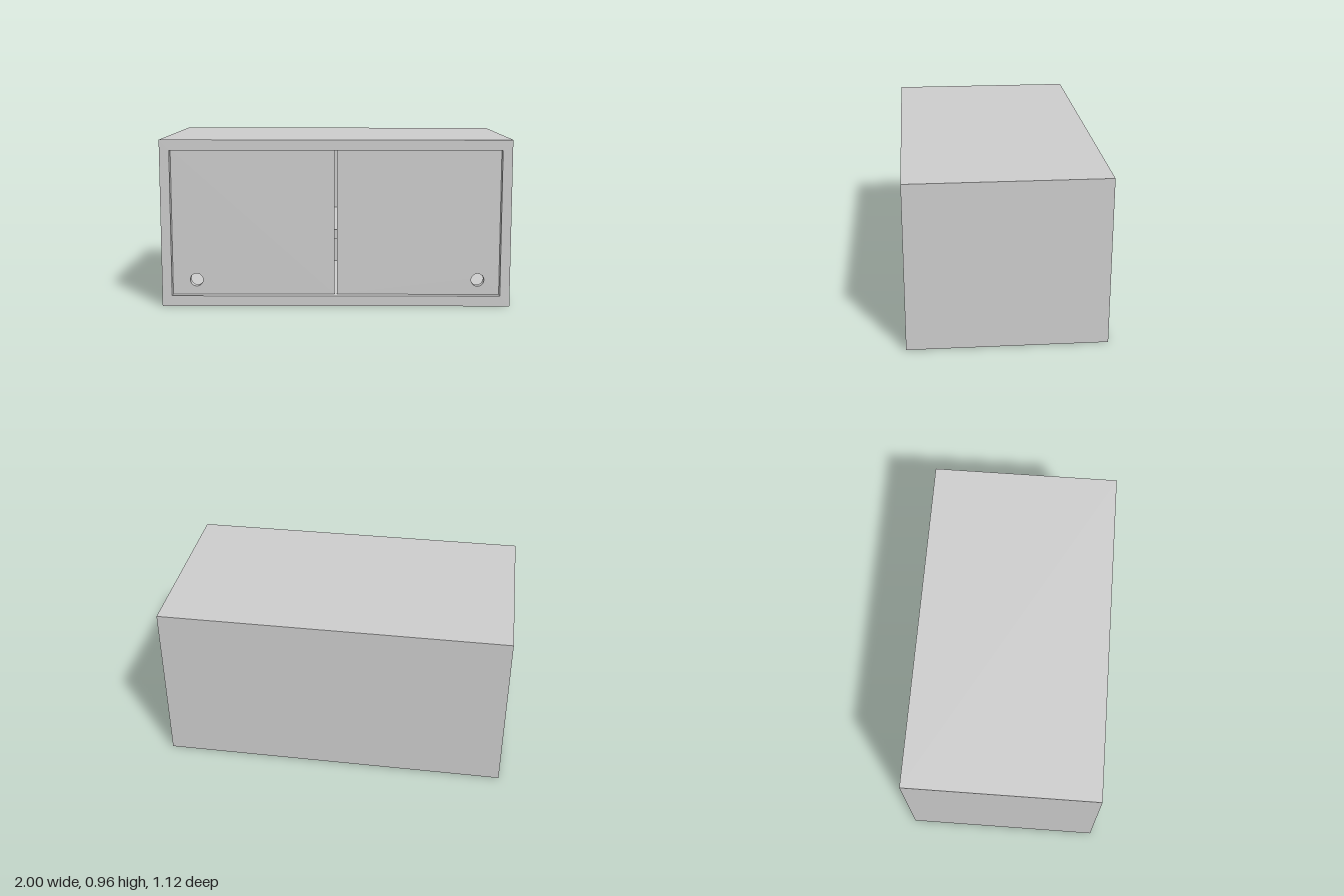
import * as THREE from 'three';

const W = 2, H = 0.96, D = 1.115, T = 0.056;      // outer size and panel thickness
const OPEN_X = W / 2 - T, Y0 = 0.06, Y1 = 0.9;    // door opening
const DOOR_T = 0.045, RECESS = 0.045, HOLE_R = 0.037;

export function createModel() {
  const group = new THREE.Group();
  const material = new THREE.MeshStandardMaterial({ color: 0xcccccc });

  const add = (name, geometry, x, y, z) => {
    const mesh = new THREE.Mesh(geometry, material);
    mesh.name = name;
    mesh.position.set(x, y, z);
    group.add(mesh);
  };

  const rect = (shape, x0, y0, x1, y1) => {
    shape.moveTo(x0, y0);
    shape.lineTo(x1, y0);
    shape.lineTo(x1, y1);
    shape.lineTo(x0, y1);
    shape.closePath();
    return shape;
  };

  // Carcass: one seamless frame running from the back panel to the front
  const frame = rect(new THREE.Shape(), -W / 2, 0, W / 2, H);
  frame.holes.push(rect(new THREE.Path(), -OPEN_X, Y0, OPEN_X, Y1));
  add('carcass', new THREE.ExtrudeGeometry(frame, { depth: D, bevelEnabled: false }), 0, 0, -D / 2);

  // Back panel closes the frame flush with its rear
  add('backPanel', new THREE.BoxGeometry(OPEN_X * 2, Y1 - Y0, T), 0, (Y0 + Y1) / 2, -D / 2 + T / 2);

  // Inner shelf, set behind the doors
  const shelfBack = -D / 2 + T;
  const shelfFront = D / 2 - RECESS - DOOR_T - 0.03;
  add('shelf', new THREE.BoxGeometry(OPEN_X * 2, 0.054, shelfFront - shelfBack),
    0, 0.401, (shelfFront + shelfBack) / 2);

  // Recessed doors, each with a round finger hole in its lower outer corner
  const addDoor = (name, x0, x1, holeX) => {
    const door = rect(new THREE.Shape(), x0, Y0, x1, Y1);
    const hole = new THREE.Path();
    hole.absarc(holeX, 0.145, HOLE_R, 0, Math.PI * 2, true);
    door.holes.push(hole);
    const geometry = new THREE.ExtrudeGeometry(door, { depth: DOOR_T, bevelEnabled: false, curveSegments: 32 });
    add(name, geometry, 0, 0, D / 2 - RECESS - DOOR_T);
  };
  addDoor('rightDoor', -OPEN_X, -0.009, -0.807);
  addDoor('leftDoor', 0.007, OPEN_X, 0.82);

  return group;
}
